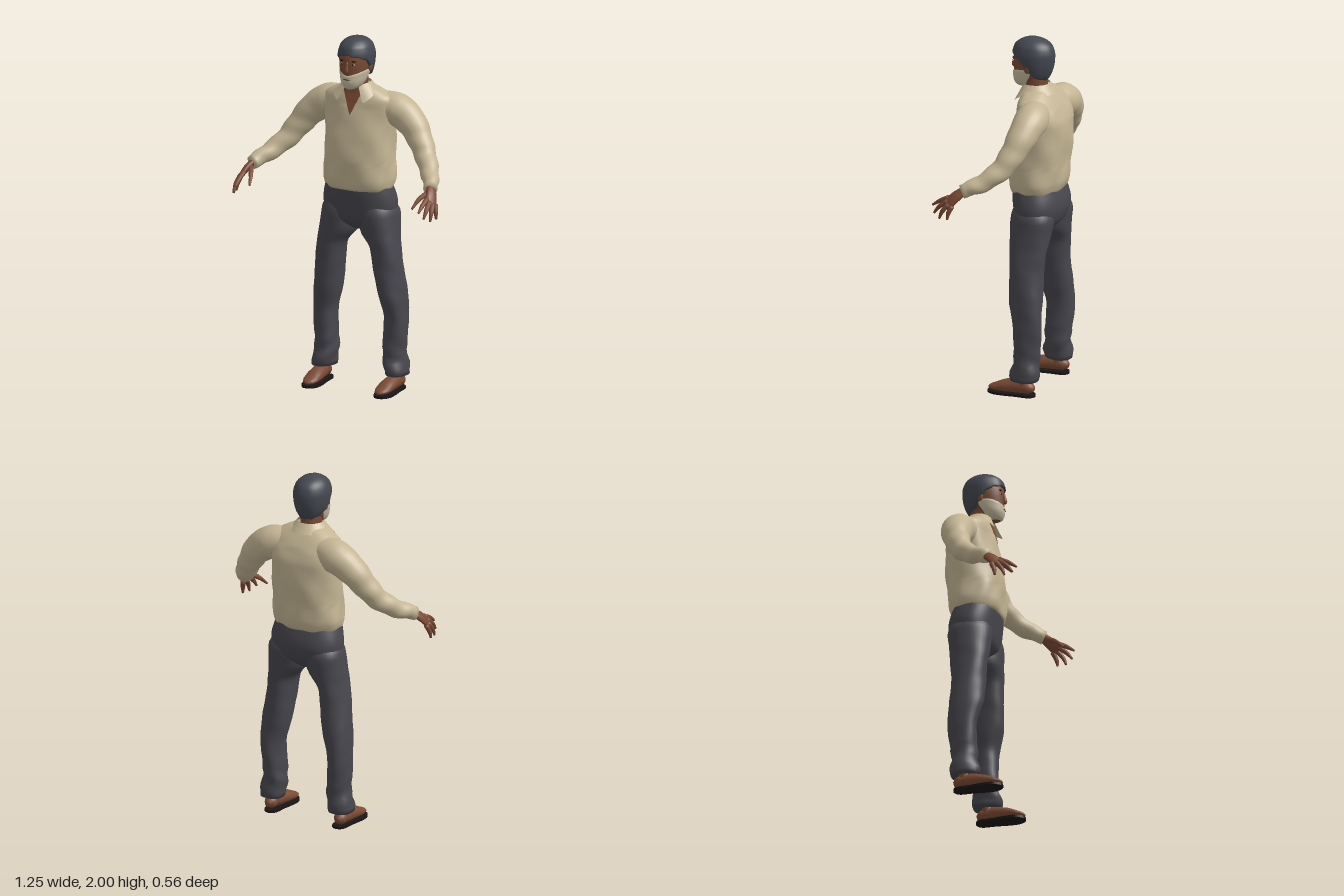
import * as THREE from 'three';
import { mergeVertices } from 'three/addons/utils/BufferGeometryUtils.js';

const V = (x, y, z) => new THREE.Vector3(x, y, z);
const PI = Math.PI;

// Smooth grid surface: u runs to the right, v runs up, seen from outside
function patch(fn, nu, nv) {
  const pos = [], idx = [], w = nu + 1;
  for (let j = 0; j <= nv; j++)
    for (let i = 0; i <= nu; i++) pos.push(...fn(i / nu, j / nv).toArray());
  for (let j = 0; j < nv; j++)
    for (let i = 0; i < nu; i++) {
      const a = j * w + i;
      idx.push(a, a + 1, a + w + 1, a, a + w + 1, a + w);
    }
  const g = new THREE.BufferGeometry();
  g.setAttribute('position', new THREE.Float32BufferAttribute(pos, 3));
  g.setIndex(idx);
  const m = mergeVertices(g, 1e-5);
  m.computeVertexNormals();
  return m;
}

// Monotone interpolation of rows [y, ...values]
function at(keys, y) {
  const n = keys.length - 1;
  y = Math.min(Math.max(y, keys[0][0]), keys[n][0]);
  let i = 0;
  while (i < n - 1 && y > keys[i + 1][0]) i++;
  const slope = (k, c) => (keys[k + 1][c] - keys[k][c]) / (keys[k + 1][0] - keys[k][0]);
  const tan = (k, c) => {
    if (k === 0) return slope(0, c);
    if (k === n) return slope(n - 1, c);
    const a = slope(k - 1, c), b = slope(k, c);
    return a * b <= 0 ? 0 : (2 * a * b) / (a + b);
  };
  const h = keys[i + 1][0] - keys[i][0], t = (y - keys[i][0]) / h, s = 1 - t;
  return keys[i].map((p, c) => c === 0 ? y :
    p * (1 + 2 * t) * s * s + keys[i + 1][c] * (3 - 2 * t) * t * t +
    h * t * s * (tan(i, c) * s - tan(i + 1, c) * t));
}

// Point on a body of rows [y, centreX, halfWidth, frontZ, backZ]; angle 0 is the front
function surf(keys, a, y, off = 0, p = 2) {
  const [, cx, rx, zf, zb] = at(keys, y);
  const bend = (s) => Math.sign(s) * Math.abs(s) ** (2 / p);
  return V(cx + (rx + off) * bend(Math.sin(a)), y, (zf + zb) / 2 + ((zf - zb) / 2 + off) * bend(Math.cos(a)));
}

// Closed loft through the rows
function loft(keys, nu, nv, p = 2, fold = () => 0) {
  const lo = keys[0][0], hi = keys[keys.length - 1][0];
  return patch((u, v) => {
    const row = Math.round(v * (nv + 2)) - 1;
    const y = lo + (hi - lo) * Math.min(Math.max(row / nv, 0), 1);
    if (row < 0 || row > nv) {
      const k = at(keys, y);
      return V(k[1], y, (k[3] + k[4]) / 2);
    }
    const a = (u === 1 ? 0 : u) * 2 * PI;
    return surf(keys, a, y, fold(a, y), p);
  }, nu, nv + 2);
}

// Closed tube along rows [x, y, z, radius, otherRadius]
function limb(rows, nu = 12, nv = 16, ref = V(0, 0, 1), fold = () => 0) {
  const curve = new THREE.CatmullRomCurve3(rows.map((r) => V(r[0], r[1], r[2])));
  const n = rows.length - 1;
  return patch((u, v) => {
    const row = Math.round(v * (nv + 2)) - 1;
    const t = Math.min(Math.max(row / nv, 0), 1);
    const c = curve.getPoint(t);
    if (row < 0 || row > nv) return c;
    const i = Math.min(Math.floor(t * n), n - 1), f = t * n - i;
    const rad = (k) => THREE.MathUtils.lerp(rows[i][k] ?? rows[i][3], rows[i + 1][k] ?? rows[i + 1][3], f);
    const T = curve.getTangent(t);
    const N = ref.clone().addScaledVector(T, -ref.dot(T)).normalize();
    const B = T.clone().cross(N);
    const a = (u === 1 ? 0 : u) * 2 * PI, d = fold(a, t);
    return c.addScaledVector(N, (rad(3) + d) * Math.cos(a)).addScaledVector(B, (rad(4) + d) * Math.sin(a));
  }, nu, nv + 2);
}

function mirrored(g) {
  const m = g.clone().scale(-1, 1, 1);
  if (!m.index) m.setIndex([...Array(m.attributes.position.count).keys()]);
  const ix = m.index.array;
  for (let i = 0; i < ix.length; i += 3) [ix[i], ix[i + 1]] = [ix[i + 1], ix[i]];
  m.computeVertexNormals();
  return m;
}

const SHIRT = [
  [1.14, 0, .19, .028, -.235], [1.155, 0, .197, .036, -.243], [1.2, 0, .206, .043, -.257], [1.3, 0, .2, .045, -.264],
  [1.42, 0, .198, .035, -.275], [1.53, 0, .205, .012, -.272], [1.6, 0, .213, -.005, -.25],
  [1.65, 0, .208, -.015, -.22], [1.69, 0, .15, -.026, -.19], [1.72, 0, .085, -.03, -.165], [1.73, 0, .05, -.04, -.15]];
const PELVIS = [
  [.9, 0, .05, -.07, -.16], [.93, 0, .13, -.03, -.2], [.97, 0, .2, 0, -.235],
  [1.05, 0, .214, .015, -.256], [1.16, 0, .19, .026, -.232], [1.18, 0, .18, .02, -.22]];
const LEG = [
  [.09, .225, .062, -.038, -.198], [.13, .222, .068, -.035, -.2], [.2, .21, .064, -.05, -.194],
  [.4, .217, .063, -.05, -.21], [.55, .198, .076, -.02, -.21], [.7, .178, .078, -.01, -.203],
  [.8, .165, .078, -.005, -.21], [.9, .126, .108, 0, -.225], [1, .115, .108, .003, -.24], [1.08, .1, .08, -.02, -.2]];
const HEAD = [
  [1.715, 0, .02, .02, -.04], [1.73, 0, .045, .034, -.08], [1.765, 0, .066, .044, -.12], [1.8, 0, .076, .044, -.15],
  [1.85, 0, .085, .045, -.165], [1.9, 0, .088, .04, -.17], [1.95, 0, .075, .015, -.155], [1.985, 0, .03, -.03, -.1]];
const HAIR = [
  [1.76, 0, .066, 0, -.152], [1.8, 0, .086, .03, -.175], [1.86, 0, .098, .046, -.19], [1.9, 0, .1, .05, -.192],
  [1.95, 0, .088, .038, -.178], [1.98, 0, .062, .005, -.145], [1.994, 0, .032, -.03, -.105], [2, 0, .001, -.065, -.067]];
const HAIRLINE = [[0, 1.915], [40, 1.9], [70, 1.875], [88, 1.83], [112, 1.79], [150, 1.768], [180, 1.765]];
const BEARDLINE = [[0, 1.797], [18, 1.803], [40, 1.812], [80, 1.825], [110, 1.82]];

export function createModel() {
  const root = new THREE.Group();
  const mat = (name, color, side = THREE.FrontSide) => {
    const m = new THREE.MeshStandardMaterial({ color, side });
    m.name = name;
    return m;
  };
  const shirt = mat('shirt cream', 0xc4b594, THREE.DoubleSide), denim = mat('trouser grey', 0x47474e);
  const skin = mat('brown skin', 0x7b4a34), hairMat = mat('hair grey', 0x434750);
  const beardMat = mat('beard cream', 0xc6bca2), dark = mat('near black', 0x1a1516), white = mat('eye white', 0xb5aaa0);
  const add = (name, g, m) => {
    const mesh = new THREE.Mesh(g, m);
    mesh.name = name;
    root.add(mesh);
  };
  const pair = (name, g, m) => {
    add(name + 'Left', g, m);
    add(name + 'Right', mirrored(g), m);
  };

  // Shirt body with soft folds, skin in the open neck
  const fold = (a, y) => y > 1.62 ? 0 :
    .004 * Math.sin(5 * a + 9 * y) * Math.sin(17 * y) + .003 * Math.sin(9 * a - 22 * y) * (y < 1.3 ? 1 : .4);
  add('shirtBody', loft(SHIRT, 56, 44, 2.3, fold), shirt);
  add('openNeck', patch((u, v) => {
    const y = 1.568 + v * .155, w = .001 + v * .066;
    const a = Math.asin(Math.min(1, (w / at(SHIRT, y)[2]) ** 1.15)) * (u * 2 - 1);
    return surf(SHIRT, a, y, fold(a, y) + .004, 2.3);
  }, 12, 12), skin);
  add('neck', loft([[1.66, 0, .066, -.03, -.155], [1.72, 0, .058, -.018, -.15], [1.8, 0, .06, 0, -.15]], 24, 6), skin);

  // Folded collar, low at its front points
  add('collar', patch((u, v) => {
    const a = .5 + u * (2 * PI - 1), front = Math.max(0, Math.cos(a)) ** 2;
    const s = 1 - v, r = .074 + .045 * s;
    return V(r * Math.sin(a) * (1 + .5 * s * front), 1.742 - .012 * front - s * (.05 + .05 * front),
      -.088 + (r + .004) * Math.cos(a) * .93);
  }, 36, 5), shirt);

  // Sleeves
  pair('sleeve', limb([[.12, 1.6, -.135, .085], [.21, 1.585, -.15, .095], [.3, 1.53, -.142, .084], [.37, 1.445, -.115, .07],
    [.43, 1.36, -.07, .06], [.5, 1.29, .015, .05], [.555, 1.248, .112, .038]], 24, 36, V(0, 0, 1),
  (a, t) => .004 * Math.sin(38 * t + 2 * Math.sin(a)) * t), shirt);

  // Hands: flat palm and five digits
  pair('palm', limb([[.545, 1.255, .095, .025, .02], [.57, 1.222, .135, .034, .019], [.585, 1.188, .168, .037, .015],
    [.592, 1.172, .185, .026, .01]], 14, 10, V(-.04, .035, .05)), skin);
  const digits = {
    thumb: [[.55, 1.232, .13], [.52, 1.2, .185], [.502, 1.155, .235]],
    indexFinger: [[.567, 1.208, .18], [.567, 1.182, .235], [.566, 1.152, .28]],
    middleFinger: [[.582, 1.193, .18], [.588, 1.155, .23], [.588, 1.115, .262]],
    ringFinger: [[.595, 1.178, .17], [.605, 1.135, .205], [.608, 1.093, .222]],
    littleFinger: [[.602, 1.172, .148], [.614, 1.13, .165], [.618, 1.095, .17]],
  };
  for (const [name, p] of Object.entries(digits))
    pair(name, limb(p.map((q, i) => [...q, [.015, .0125, .006][i]]), 10, 8, V(1, 0, 0)), skin);

  // Trousers
  add('trouserSeat', loft(PELVIS, 48, 20, 2.3), denim);
  pair('trouserLeg', loft(LEG, 32, 44, 2.2, (a, y) =>
    .004 * Math.sin(60 * y + 2 * a) * (y < .25 ? 1 : .15) + .003 * Math.sin(3 * a + 14 * y)), denim);

  // Feet with flattened undersides, and thin soles
  const foot = limb([[.228, .045, -.175, .015], [.228, .05, -.15, .034], [.226, .055, -.08, .04, .043],
    [.223, .045, 0, .046, .035], [.222, .035, .05, .044, .023], [.222, .03, .083, .03, .014],
    [.222, .026, .098, .01, .006]], 20, 24, V(1, 0, 0));
  const fp = foot.attributes.position;
  for (let i = 0; i < fp.count; i++) fp.setY(i, Math.max(fp.getY(i), .018));
  foot.computeVertexNormals();
  pair('foot', foot, skin);
  pair('ankle', limb([[.226, .04, -.11, .038], [.226, .09, -.115, .035], [.226, .15, -.12, .035]], 16, 6), skin);
  const outline = [[0, .18], [.035, .16], [.042, .08], [.052, -.01], [.048, -.06], [.025, -.095]];
  const loop = [...outline, [0, -.102], ...outline.slice(1).reverse().map(([x, y]) => [-x, y])];
  const sole = new THREE.ExtrudeGeometry(
    new THREE.Shape(new THREE.CatmullRomCurve3(loop.map(([x, y]) => V(x, y, 0)), true).getPoints(40).slice(0, -1)
      .map((p) => new THREE.Vector2(p.x, p.y))), { depth: .014, bevelEnabled: false });
  sole.rotateX(PI / 2).scale(1, 1, -1).rotateZ(PI).translate(.223, 0, 0);
  sole.computeBoundingBox();
  sole.translate(0, -sole.boundingBox.min.y, 0);
  // Outline y maps to minus z; restore outward faces if the flips reversed them
  const sp = sole.attributes.position, va = V(), vb = V(), vc = V();
  let volume = 0;
  for (let i = 0; i < sp.count; i += 3)
    volume += va.fromBufferAttribute(sp, i).dot(vb.fromBufferAttribute(sp, i + 1).cross(vc.fromBufferAttribute(sp, i + 2)));
  if (volume < 0) sole.setIndex([...Array(sp.count).keys()].map((i) => i % 3 === 0 ? i + 1 : i % 3 === 1 ? i - 1 : i));
  const soleFlat = sole.index ? sole.toNonIndexed() : sole;
  soleFlat.computeVertexNormals();
  pair('sole', soleFlat, dark);

  // Head, beard and hair
  add('head', loft(HEAD, 40, 30), skin);
  const line = (table, a) => at(table, Math.abs(a) * 180 / PI)[1];
  add('beard', patch((u, v) => {
    const a = (u * 2 - 1) * 1.85, top = line(BEARDLINE, a);
    return surf(HEAD, a, 1.716 + (top - 1.716) * v, v === 1 ? 0 : .004);
  }, 36, 14), beardMat);
  add('hair', patch((u, v) => {
    const a = (u === 1 ? -1 : u * 2 - 1) * PI, lo = line(HAIRLINE, a) + .003 * Math.sin(13 * a);
    if (v === 0) return surf(HEAD, a, lo, -.004);
    return surf(HAIR, a, lo + (2 - lo) * Math.sin((v - .05) / .95 * PI / 2), .0015 * Math.sin(7 * a) * (1 - v));
  }, 48, 20), hairMat);

  // Face details
  const blob = (x, y, z, sx, sy, sz) => new THREE.SphereGeometry(1, 14, 10).scale(sx, sy, sz).translate(x, y, z);
  add('noseBridge', limb([[0, 1.875, .042, .007], [0, 1.85, .047, .009], [0, 1.826, .05, .012], [0, 1.815, .046, .008]], 10, 8, V(1, 0, 0)), skin);
  pair('ear', blob(.087, 1.838, -.068, .009, .028, .018), skin);
  pair('eyeWhite', blob(.034, 1.862, .034, .012, .005, .0055), white);
  pair('iris', blob(.034, 1.862, .037, .0055, .005, .005), dark);
  pair('eyebrow', blob(.036, 1.881, .034, .019, .004, .005), dark);
  add('mouth', blob(0, 1.776, .046, .022, .0025, .0045), dark);
  return root;
}
